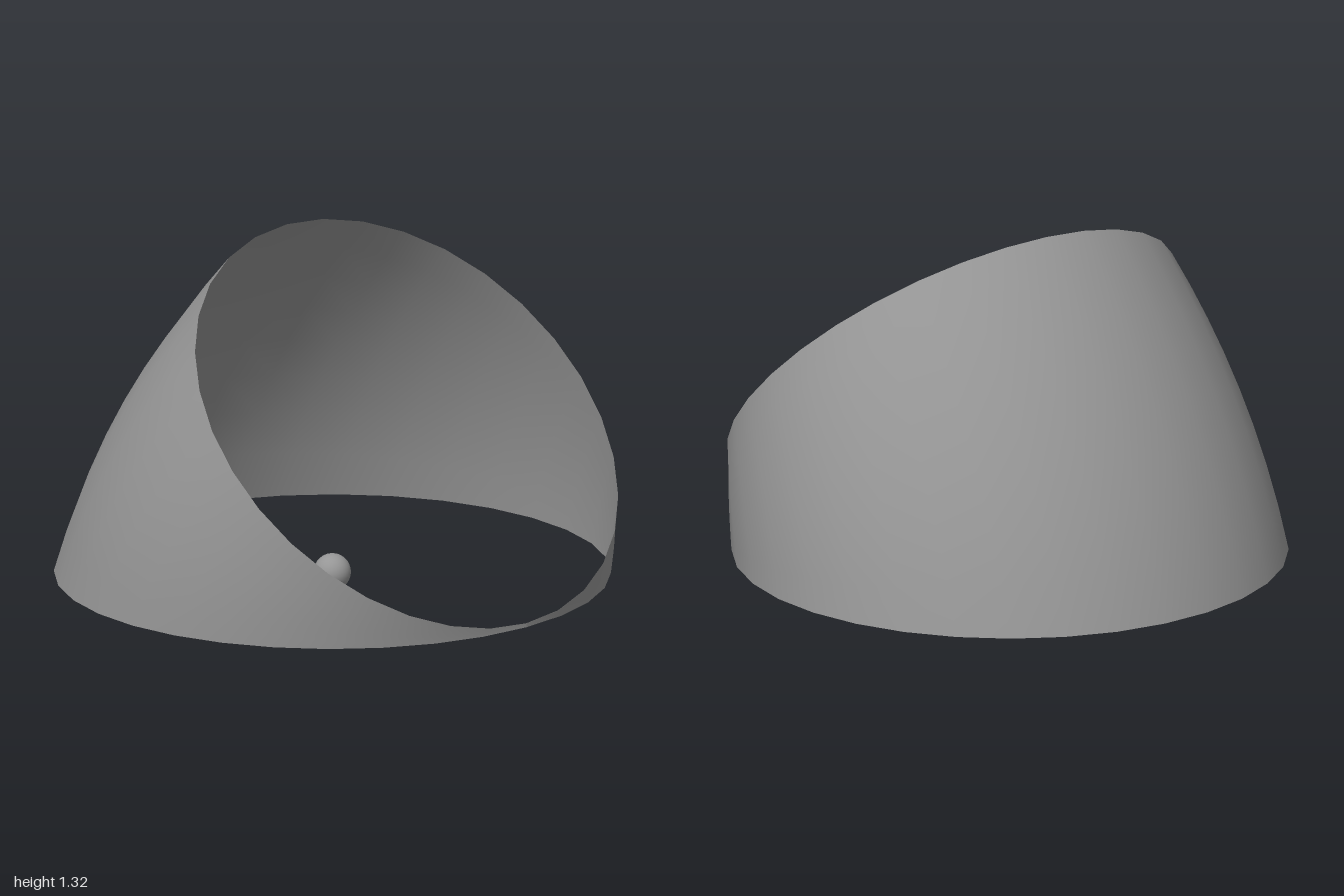
import * as THREE from 'three';

const SEGMENTS = 32, RINGS = 8, BASE_Y = 0.067, GREY = 0x969696;

// Hood: rings hinged at the front that tilt from level to 45 degrees while shrinking
function hoodGeometry() {
  const geometry = new THREE.PlaneGeometry(1, 1, SEGMENTS, RINGS);
  const pos = geometry.attributes.position;
  for (let j = 0; j <= RINGS; j++) {
    const s = j / RINGS;
    const tilt = s * Math.PI / 4;
    // the sides rise almost upright first, the back leans in from the start
    const width = 1 - 0.127 * s * (0.45 + 0.55 * s);
    const depth = 1 - 0.127 * s - 0.14 * s * (1 - s);
    for (let i = 0; i <= SEGMENTS; i++) {
      // the seam sits at the front hinge
      const a = (i / SEGMENTS) * Math.PI * 2;
      const reach = depth * (1 - Math.cos(a));
      pos.setXYZ(
        (RINGS - j) * (SEGMENTS + 1) + i,
        width * Math.sin(a),
        BASE_Y + 0.015 * s + reach * Math.sin(tilt),
        1 - reach * Math.cos(tilt)
      );
    }
  }
  geometry.computeVertexNormals();
  return geometry;
}

export function createModel() {
  const group = new THREE.Group();

  const hood = new THREE.Mesh(
    hoodGeometry(),
    new THREE.MeshStandardMaterial({ color: GREY, side: THREE.DoubleSide })
  );
  hood.name = 'hood';

  // Small ball at the centre of the base circle
  const ball = new THREE.Mesh(
    new THREE.SphereGeometry(0.067, 32, 16),
    new THREE.MeshStandardMaterial({ color: GREY })
  );
  ball.name = 'centreBall';
  ball.position.y = BASE_Y;

  group.add(hood, ball);
  return group;
}
